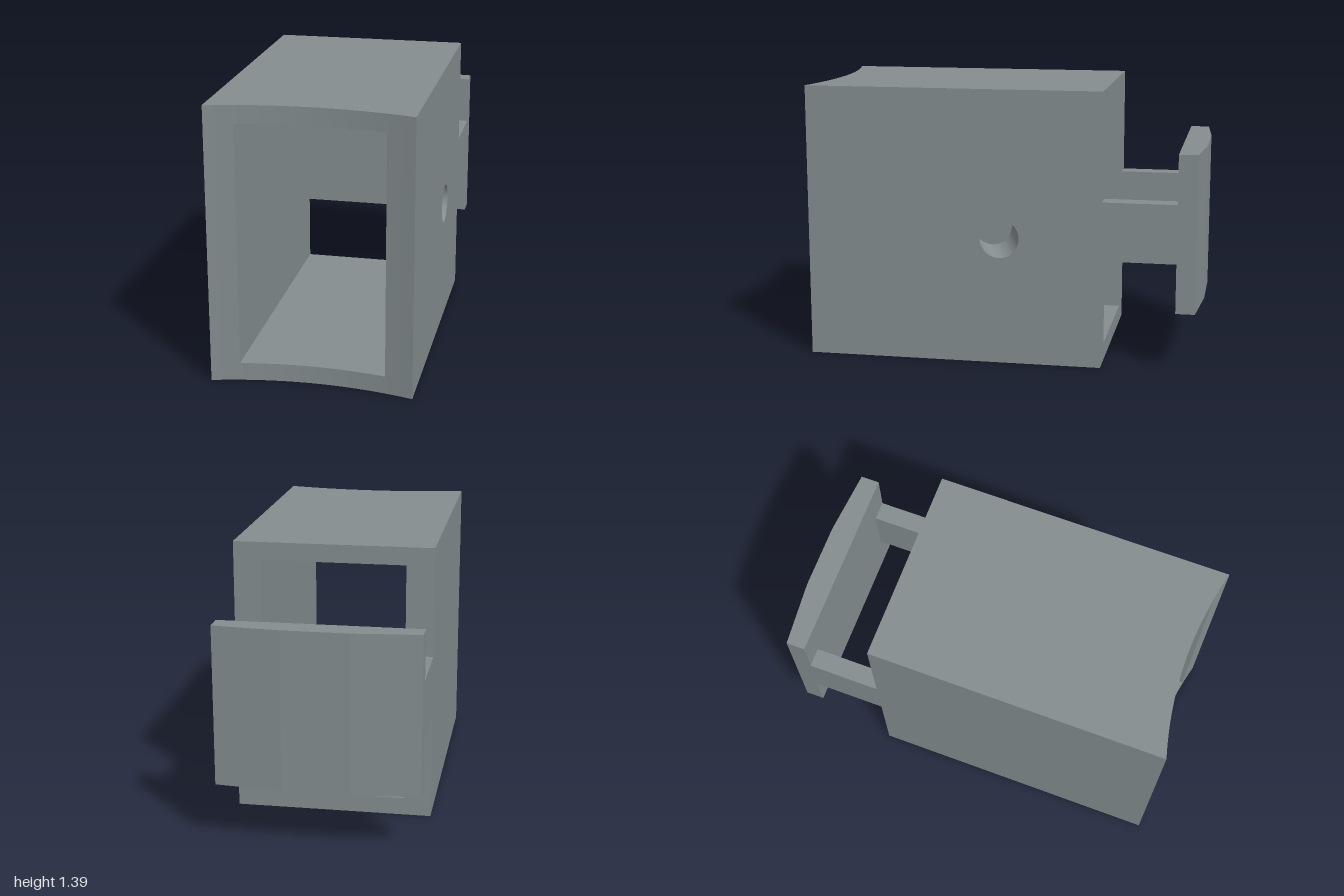
import * as THREE from 'three';
import { toCreasedNormals } from 'three/addons/utils/BufferGeometryUtils.js';

const W = 0.497, H = 1.392, BACK = -0.505; // half width, height, rear of the housing
const SIDE = 0.138, SLAB = 0.09;           // wall thicknesses
const R = 1.917;                           // radius of the hollow front

// z of the concave front at a given x
const frontZ = (x) => 0.935 + R - Math.sqrt(R * R - x * x);

export function createModel() {
  const group = new THREE.Group();
  const material = new THREE.MeshStandardMaterial({ color: 0x848d8f });

  const add = (name, geometry, crease = 0.4) => {
    const mesh = new THREE.Mesh(toCreasedNormals(geometry, crease), material);
    mesh.name = name;
    group.add(mesh);
  };

  // Extrudes a plan outline given as [x, z] upwards from y0
  const extrudeUp = (points, y0, height) => {
    const shape = new THREE.Shape(points.map(([x, z]) => new THREE.Vector2(x, -z)));
    return new THREE.ExtrudeGeometry(shape, { depth: height, bevelEnabled: false })
      .rotateX(-Math.PI / 2).translate(0, y0, 0);
  };

  // Top and bottom of the housing
  const slabPlan = [[W, BACK], [-W, BACK]];
  for (let i = 0; i <= 24; i++) {
    const x = -W + (2 * W * i) / 24;
    slabPlan.push([x, frontZ(x)]);
  }
  add('bottomWall', extrudeUp(slabPlan, 0, SLAB));
  add('topWall', extrudeUp(slabPlan, H - SLAB, SLAB));

  // Side walls, one pierced by a slanted hole
  const sideWall = (x0, pierced) => {
    const shape = new THREE.Shape();
    shape.moveTo(-1, SLAB);
    shape.lineTo(-BACK, SLAB);
    shape.lineTo(-BACK, H - SLAB);
    shape.lineTo(-1, H - SLAB);
    shape.closePath();
    if (pierced) shape.holes.push(new THREE.Path().absarc(-0.01, 0.645, 0.1, 0, Math.PI * 2, true));
    const geometry = new THREE.ExtrudeGeometry(shape, {
      depth: SIDE, steps: 4, bevelEnabled: false, curveSegments: 32,
    }).rotateY(Math.PI / 2).translate(x0, 0, 0);
    const p = geometry.attributes.position;
    for (let i = 0; i < p.count; i++) {
      const x = p.getX(i), z = p.getZ(i);
      if (z > 0.9) p.setZ(i, frontZ(x));          // follow the hollow front
      else if (z > -0.3) {                        // slant the hole inwards
        const t = (W - x) / SIDE;
        p.setZ(i, z + 0.06 * t);
        p.setY(i, p.getY(i) + 0.037 * t);
      }
    }
    return geometry;
  };
  add('leftWall', sideWall(W - SIDE, true));
  add('rightWall', sideWall(-W, false));

  // Arms joining the housing to the rear plate
  for (const s of [1, -1]) {
    const arm = new THREE.BoxGeometry(0.097, 0.297, 0.37).translate(s * (W - 0.0485), 0.6985, -0.69);
    add(s > 0 ? 'leftArm' : 'rightArm', arm);
  }

  // Rear plate with three facets on its outer face
  const platePlan = [[-W, -0.875], [W, -0.875], [W, -0.971], [0.165, -1], [-0.165, -1], [-W, -0.971]];
  add('rearPlate', extrudeUp(platePlan, 0.3, 0.795), 0.02);

  return group;
}
